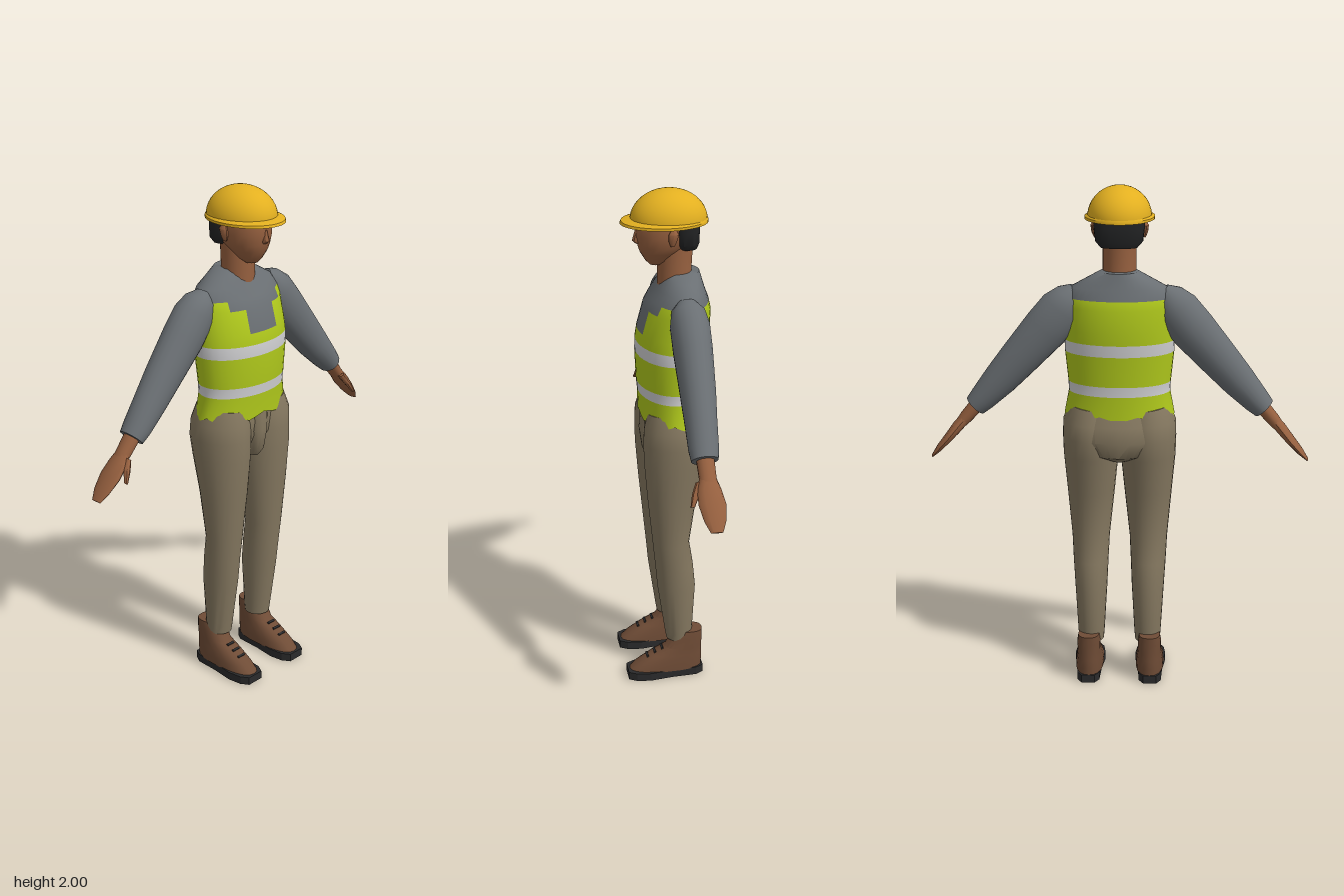
import * as THREE from 'three';
import { toCreasedNormals } from 'three/addons/utils/BufferGeometryUtils.js';

const mat = (name, color) => {
  const m = new THREE.MeshStandardMaterial({ color });
  m.name = name;
  return m;
};

// Loft through rings [x, y, z, radius across, radius in z, hem waviness].
// pick(band, angle) chooses a material index for each face.
function loft(rings, segs, power = 1, crease = 0.7, pick = () => 0) {
  const pos = [], faces = [];
  const add = (m, ...ids) => (faces[m] ??= []).push(...ids);
  const soft = (v) => Math.sign(v) * Math.abs(v) ** power;
  rings.forEach(([x, y, z, ru, rz, wave = 0], i) => {
    const a = rings[Math.max(i - 1, 0)], b = rings[Math.min(i + 1, rings.length - 1)];
    const d = new THREE.Vector2(b[0] - a[0], b[1] - a[1]).normalize();
    for (let j = 0; j < segs; j++) {
      const t = (j / segs) * Math.PI * 2;
      const u = ru * soft(Math.cos(t));
      pos.push(x + d.y * u, y - d.x * u + wave * Math.sin(t * 9), z + rz * soft(Math.sin(t)));
    }
  });
  const last = (rings.length - 1) * segs, c0 = rings.length * segs;
  pos.push(...rings[0].slice(0, 3), ...rings.at(-1).slice(0, 3));
  for (let j = 0; j < segs; j++) {
    const k = (j + 1) % segs;
    for (let i = 0; i < rings.length - 1; i++) {
      const a = i * segs + j, c = i * segs + k;
      add(pick(i, ((j + 0.5) / segs) * 360), a, a + segs, c, a + segs, c + segs, c);
    }
    add(0, c0, j, k);
    add(0, c0 + 1, last + k, last + j);
  }
  const geo = new THREE.BufferGeometry();
  geo.setAttribute('position', new THREE.Float32BufferAttribute(pos, 3));
  geo.setIndex(faces.flat());
  let start = 0;
  faces.forEach((f, m) => {
    geo.addGroup(start, f.length, m);
    start += f.length;
  });
  return toCreasedNormals(geo, crease);
}

export function createModel() {
  const skin = mat('skin', 0x96603f), hair = mat('hair', 0x222324);
  const yellow = mat('helmet yellow', 0xe3b020), lime = mat('vest lime', 0xb0c91c);
  const silver = mat('reflective silver', 0xcfcfd1), grey = mat('shirt grey', 0x6a6f73);
  const khaki = mat('trouser khaki', 0x857860), leather = mat('shoe leather', 0x6f4c36);
  const black = mat('sole black', 0x2a2a2b);

  const model = new THREE.Group();
  const body = new THREE.Group();
  body.name = 'body';
  body.position.x = -0.011;
  model.add(body);
  const put = (name, geo, material, x = 0, y = 0, z = 0) => {
    const m = new THREE.Mesh(geo, material);
    m.name = name;
    m.position.set(x, y, z);
    body.add(m);
    return m;
  };
  // ring from y, half width, front z and back z
  const ring = (y, rx, front, back, x = 0, wave = 0) =>
    [x, y, (front + back) / 2, rx, (front - back) / 2, wave];

  // Torso: shirt, vest with stepped neck opening, two stripes
  const torso = [
    ring(1.685, 0.075, 0, -0.13), ring(1.66, 0.12, 0.015, -0.137), ring(1.625, 0.182, 0.035, -0.147),
    ring(1.585, 0.203, 0.062, -0.162), ring(1.55, 0.207, 0.082, -0.17), ring(1.46, 0.21, 0.107, -0.168),
    ring(1.416, 0.212, 0.114, -0.165), ring(1.37, 0.211, 0.116, -0.16), ring(1.25, 0.199, 0.111, -0.15),
    ring(1.21, 0.197, 0.107, -0.147), ring(1.12, 0.214, 0.104, -0.147, 0, 0.01),
  ];
  put('torso and vest', loft(torso, 36, 1, 0.8, (band, angle) => {
    const off = Math.abs(angle - 90);
    if (band < 3 || (band === 3 && off < 40) || (band === 4 && off < 20)) return 0;
    return band === 6 || band === 8 ? 2 : 1;
  }), [grey, lime, silver]);

  // Head
  put('neck', loft([
    ring(1.6, 0.066, 0.03, -0.11), ring(1.68, 0.064, 0.03, -0.1), ring(1.82, 0.064, 0.03, -0.108),
  ], 20), skin);
  put('head', loft([
    ring(1.715, 0.025, 0.06, 0.01), ring(1.732, 0.045, 0.076, -0.02), ring(1.765, 0.068, 0.096, -0.06),
    ring(1.79, 0.083, 0.104, -0.09), ring(1.83, 0.091, 0.112, -0.11), ring(1.89, 0.091, 0.108, -0.115),
    ring(1.92, 0.08, 0.09, -0.1),
  ], 24), skin);
  put('nose', loft([
    ring(1.797, 0.014, 0.112, 0.08), ring(1.808, 0.016, 0.125, 0.08), ring(1.85, 0.008, 0.113, 0.08),
  ], 8), skin);
  put('hair', loft([
    ring(1.778, 0.07, -0.04, -0.118), ring(1.8, 0.09, -0.022, -0.126),
    ring(1.85, 0.096, -0.012, -0.128), ring(1.895, 0.096, -0.01, -0.125),
  ], 24, 0.8), hair);

  // Hard hat
  const dome = put('helmet dome', new THREE.SphereGeometry(1, 36, 12, 0, Math.PI * 2, 0, Math.PI / 2),
    yellow, 0, 1.882, -0.014);
  dome.scale.set(0.122, 0.118, 0.146);
  put('helmet brim', loft([
    ring(1.874, 0.133, 0.17, -0.163), ring(1.884, 0.133, 0.166, -0.163), ring(1.893, 0.12, 0.135, -0.157),
  ], 36), yellow);

  // Trouser seat and fly
  put('trouser seat', loft([
    ring(0.935, 0.04, 0.02, -0.1), ring(0.965, 0.13, 0.055, -0.15), ring(1.03, 0.205, 0.085, -0.172),
    ring(1.09, 0.207, 0.09, -0.158), ring(1.15, 0.192, 0.085, -0.135),
  ], 28), khaki);
  put('trouser fly', loft([
    ring(0.935, 0.015, 0.07, 0.03), ring(0.965, 0.03, 0.092, 0.03),
    ring(1.05, 0.043, 0.104, 0.03), ring(1.14, 0.05, 0.098, 0.03),
  ], 14), khaki);

  // Sole outline, extruded upwards
  const half = [[0.026, -0.131], [0.045, -0.1], [0.05, 0], [0.062, 0.09], [0.055, 0.145], [0.036, 0.177]];
  const outline = [...half, ...half.map(([x, z]) => [-x, z]).reverse()];
  const soleGeo = new THREE.ExtrudeGeometry(
    new THREE.Shape(outline.map(([x, z]) => new THREE.Vector2(x, -z))),
    { depth: 0.033, bevelEnabled: false });
  soleGeo.rotateX(-Math.PI / 2);

  for (const s of [1, -1]) {
    const side = s > 0 ? 'left' : 'right';
    // limb rings [x, y, z, across, in z], mirrored by side
    const limb = (name, rings, segs, material) =>
      put(`${side} ${name}`, loft(rings.map(([x, ...r]) => [s * x, ...r]), segs), material);

    limb('ear', [
      [0.092, 1.805, -0.012, 0.006, 0.008], [0.096, 1.825, -0.012, 0.011, 0.016],
      [0.098, 1.85, -0.016, 0.012, 0.02], [0.094, 1.866, -0.016, 0.006, 0.01],
    ], 10, skin);
    limb('sleeve', [
      [0.165, 1.615, -0.052, 0.025, 0.03], [0.186, 1.586, -0.053, 0.06, 0.062],
      [0.218, 1.538, -0.054, 0.085, 0.074], [0.28, 1.46, -0.054, 0.088, 0.073],
      [0.39, 1.335, -0.052, 0.076, 0.066], [0.46, 1.255, -0.049, 0.067, 0.06],
      [0.53, 1.178, -0.046, 0.053, 0.056], [0.56, 1.147, -0.045, 0.045, 0.05],
    ], 20, grey);
    limb('wrist', [
      [0.53, 1.18, -0.046, 0.03, 0.034], [0.598, 1.1, -0.047, 0.026, 0.032], [0.625, 1.068, -0.048, 0.02, 0.032],
    ], 14, skin);
    limb('hand', [
      [0.598, 1.1, -0.047, 0.022, 0.03], [0.63, 1.064, -0.047, 0.022, 0.044],
      [0.665, 1.022, -0.052, 0.018, 0.05], [0.705, 0.976, -0.055, 0.013, 0.04],
      [0.733, 0.943, -0.056, 0.005, 0.022],
    ], 12, skin);
    limb('thumb', [
      [0.605, 1.085, -0.02, 0.012, 0.018], [0.628, 1.05, 0, 0.013, 0.015], [0.648, 1.008, 0.016, 0.006, 0.008],
    ], 8, skin);

    limb('trouser leg', [
      ring(0.16, 0.05, 0.015, -0.086, 0.114), ring(0.19, 0.053, 0.02, -0.09, 0.114),
      ring(0.4, 0.065, 0.051, -0.102, 0.114), ring(0.5, 0.07, 0.06, -0.092, 0.115),
      ring(0.6, 0.075, 0.07, -0.076, 0.115), ring(0.8, 0.094, 0.09, -0.105, 0.113),
      ring(0.95, 0.108, 0.102, -0.138, 0.112), ring(1.03, 0.111, 0.104, -0.155, 0.111),
      ring(1.09, 0.109, 0.101, -0.148, 0.111), ring(1.15, 0.09, 0.085, -0.13, 0.105),
    ], 24, khaki);

    put(`${side} sole`, soleGeo, black, s * 0.125);
    put(`${side} shoe`, loft([
      ring(0.03, 0.057, 0.172, -0.128), ring(0.06, 0.056, 0.14, -0.13), ring(0.095, 0.051, 0.083, -0.13),
      ring(0.125, 0.047, 0.022, -0.128), ring(0.165, 0.047, 0.0, -0.13), ring(0.198, 0.042, -0.03, -0.13),
    ].map(([, ...r]) => [s * 0.123, ...r]), 20, 0.8), leather);
    // Laces across the instep
    for (const [y, z] of [[0.12, 0.036], [0.105, 0.066], [0.088, 0.096]]) {
      const lace = put(`${side} lace`, new THREE.BoxGeometry(0.036, 0.006, 0.009), black, s * 0.123, y, z);
      lace.rotation.x = 0.5;
    }
  }
  return model;
}
